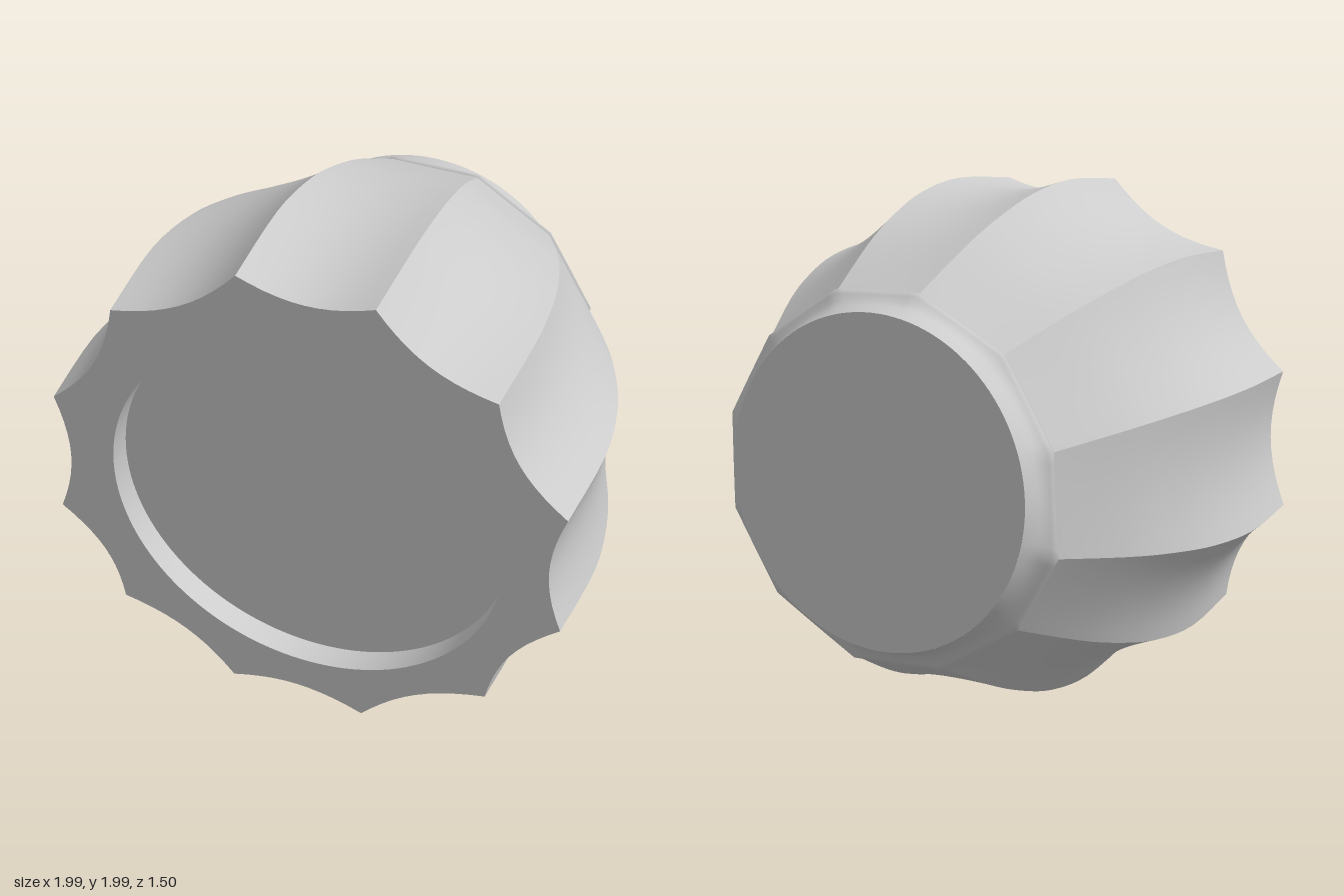
import * as THREE from 'three';
import { mergeGeometries, mergeVertices } from 'three/addons/utils/BufferGeometryUtils.js';

const material = new THREE.MeshStandardMaterial({ color: 0xcccccc });

// Rib ridges at the widest section, counter-clockwise as [x, y] about the axis
const ridges = [
  [0.99, 0.25], [0.73, 0.69], [0.3, 0.97], [-0.2, 0.99], [-0.69, 0.73], [-0.97, 0.27],
  [-1.0, -0.27], [-0.77, -0.68], [-0.32, -0.97], [0.22, -1.0], [0.72, -0.72], [0.99, -0.28],
].map(([x, y]) => new THREE.Vector2(x, y));
const N = ridges.length;

// Body bulge from front to back: (z, scale of the section)
const profile = new THREE.SplineCurve([
  [0.72, 0.97], [0.35, 1.0], [0.07, 0.97], [-0.15, 0.905], [-0.35, 0.82], [-0.62, 0.675],
].map(([z, s]) => new THREE.Vector2(z, s)));

// Point on one concave flute, t = 0..1 between neighbouring ridges
function flute(k, t, depth) {
  const p = ridges[k % N].clone().lerp(ridges[(k + 1) % N], t);
  return p.multiplyScalar(1 - depth * 4 * t * (1 - t));
}

// The mouth leans slightly forward at the top
const lean = (y) => 0.03 * y;

// Surface from cross-sections, rows front to back, columns counter-clockwise
function loft(rows, cols, point) {
  const pos = [], index = [];
  for (let i = 0; i <= rows; i++)
    for (let j = 0; j <= cols; j++) {
      pos.push(...point(i, j));
      if (i < rows && j < cols) {
        const a = i * (cols + 1) + j, b = a + cols + 1;
        index.push(a, b, a + 1, b, b + 1, a + 1);
      }
    }
  const g = new THREE.BufferGeometry();
  g.setAttribute('position', new THREE.Float32BufferAttribute(pos, 3));
  g.setIndex(index);
  return g;
}

// Shear a geometry so that it follows the lean of the mouth
function leaned(g) {
  const p = g.attributes.position;
  for (let i = 0; i < p.count; i++) p.setZ(i, p.getZ(i) + lean(p.getY(i)));
  g.computeVertexNormals();
  return g;
}

export function createModel() {
  const group = new THREE.Group();
  const add = (name, geometry) => {
    const mesh = new THREE.Mesh(geometry, material);
    mesh.name = name;
    group.add(mesh);
    return mesh;
  };

  // Fluted body: one smooth panel per flute, creased at the ridges
  const ROWS = 20, COLS = 10;
  const panels = ridges.map((_, k) => {
    const g = loft(ROWS, COLS, (i, j) => {
      const f = i / ROWS;
      const { x: z, y: s } = profile.getPoint(f);
      const p = flute(k, j / COLS, 0.055 * (1 - f)).multiplyScalar(s);
      return [p.x, p.y, z + lean(p.y) * (1 - f)];
    });
    g.computeVertexNormals();
    return g;
  });
  add('flutedBody', mergeGeometries(panels));

  // Front rim with the round opening cut out
  const R = 0.74, cx = 0.01, cy = -0.02, depth = 0.1;
  const outline = [];
  for (let k = 0; k < N; k++)
    for (let j = 0; j < COLS; j++) outline.push(flute(k, j / COLS, 0.055).multiplyScalar(0.97));
  const rim = new THREE.Shape(outline);
  rim.holes.push(new THREE.Path().absarc(cx, cy, R, 0, Math.PI * 2, true));
  add('frontRim', leaned(new THREE.ShapeGeometry(rim, 64).translate(0, 0, 0.72)));

  // Shallow recess: inward-facing wall and floor
  const wall = loft(1, 128, (i, j) => {
    const a = -j / 128 * Math.PI * 2;
    return [cx + R * Math.cos(a), cy + R * Math.sin(a), 0.72 - depth * i];
  });
  add('recessWall', leaned(wall));
  add('recessFloor', leaned(new THREE.CircleGeometry(R, 128).translate(cx, cy, 0.72 - depth)));

  // Flared collar: [z, radius, how much it follows the ridges, shift to the back disc]
  const collar = [
    [-0.59, 0.67, 1, 0], [-0.603, 0.702, 1, 0], [-0.615, 0.702, 0.95, 0.05], [-0.63, 0.685, 0.85, 0.15],
    [-0.65, 0.655, 0.6, 0.4], [-0.68, 0.633, 0.3, 0.7], [-0.715, 0.617, 0.1, 0.9], [-0.75, 0.605, 0, 1],
  ];
  const ox = -0.035, oy = 0.02;
  const band = mergeVertices(loft(collar.length - 1, N * COLS, (i, j) => {
    const [z, r, follow, shift] = collar[i];
    const p = flute(Math.floor(j / COLS), (j % COLS) / COLS, 0);
    p.setLength(r * THREE.MathUtils.lerp(1, p.length() / 1.02, follow));
    return [p.x + ox * shift, p.y + oy * shift, z];
  }));
  band.computeVertexNormals();
  add('backCollar', band);

  // Flat disc closing the back
  const disc = add('backDisc', new THREE.CircleGeometry(0.605, N * COLS));
  disc.rotation.y = Math.PI;
  disc.position.set(ox, oy, -0.75);

  group.position.y = 1;
  const model = new THREE.Group();
  model.name = 'flutedPot';
  model.add(group);
  return model;
}
